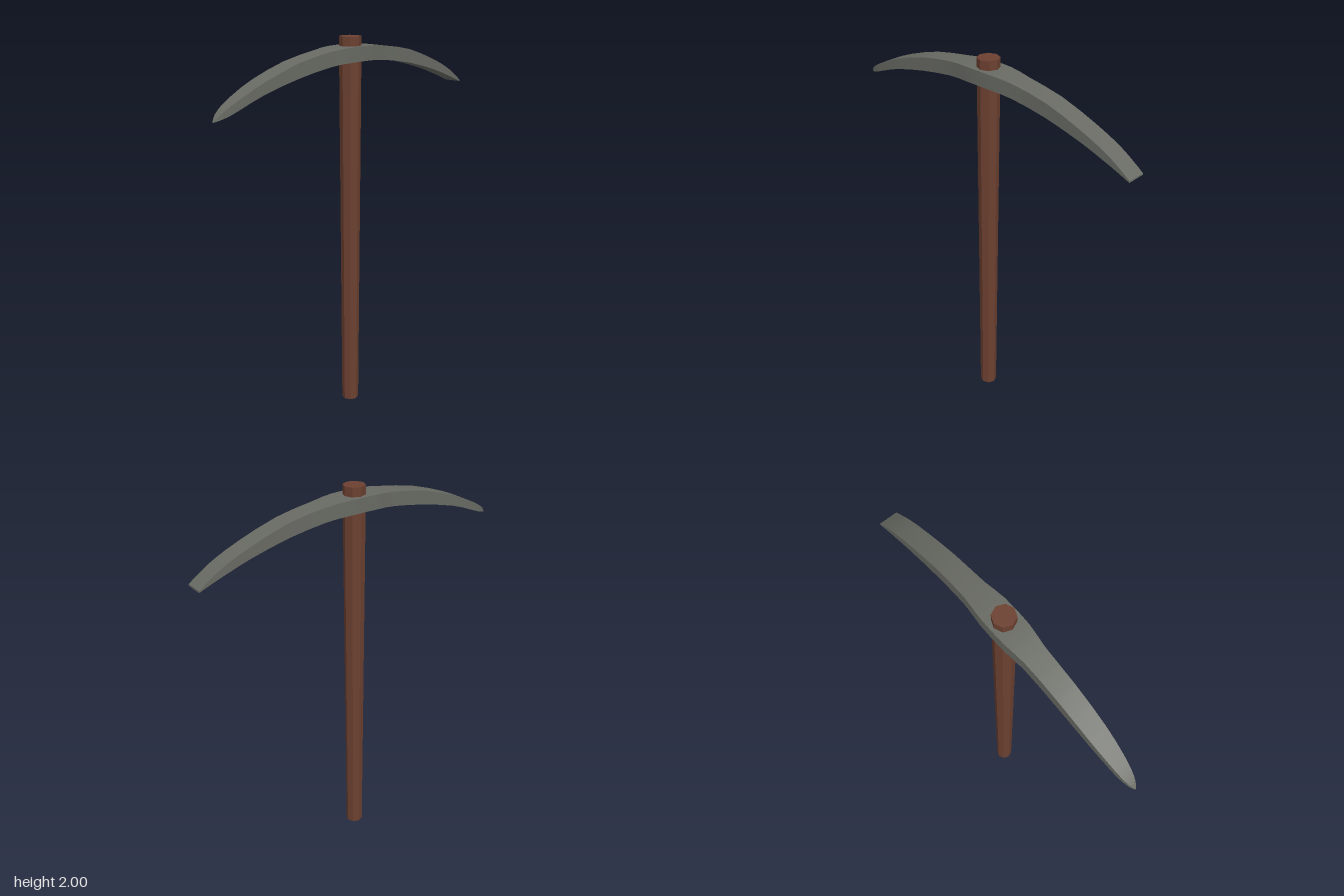
import * as THREE from 'three';
import { toCreasedNormals } from 'three/addons/utils/BufferGeometryUtils.js';

// Stations along the head: x, top y, bottom y, half width in z
const STATIONS = [
  [-0.865, 1.698, 1.694, 0.002], [-0.84, 1.724, 1.702, 0.017], [-0.79, 1.757, 1.718, 0.03],
  [-0.72, 1.793, 1.746, 0.039], [-0.6, 1.845, 1.79, 0.048], [-0.4, 1.908, 1.838, 0.053],
  [-0.2, 1.942, 1.87, 0.057], [-0.08, 1.953, 1.88, 0.071], [0.08, 1.953, 1.88, 0.071],
  [0.2, 1.942, 1.87, 0.057], [0.4, 1.908, 1.838, 0.053], [0.6, 1.84, 1.786, 0.051],
  [0.72, 1.788, 1.745, 0.05], [0.79, 1.748, 1.719, 0.049], [0.862, 1.698, 1.69, 0.049],
];

// Loft a rectangular section through the stations
function headGeometry() {
  const curve = (k) => new THREE.SplineCurve(STATIONS.map((s) => new THREE.Vector2(s[0], s[k])));
  const [top, bottom, width] = [1, 2, 3].map(curve);
  const n = (STATIONS.length - 1) * 2;
  const pos = [], idx = [];
  for (let i = 0; i <= n; i++) {
    const t = top.getPoint(i / n), b = bottom.getPoint(i / n), w = width.getPoint(i / n).y;
    pos.push(t.x, t.y, w, t.x, t.y, -w, b.x, b.y, -w, b.x, b.y, w);
    if (i === n) break;
    for (let j = 0; j < 4; j++) {
      const a = i * 4 + j, c = i * 4 + ((j + 1) % 4);
      idx.push(a, a + 4, c, c, a + 4, c + 4);
    }
  }
  // End caps: the point and the chisel edge
  const e = n * 4;
  idx.push(0, 1, 2, 0, 2, 3, e, e + 2, e + 1, e, e + 3, e + 2);
  const g = new THREE.BufferGeometry();
  g.setAttribute('position', new THREE.Float32BufferAttribute(pos, 3));
  g.setIndex(idx);
  return toCreasedNormals(g, 0.6);
}

export function createModel() {
  const group = new THREE.Group();
  const wood = new THREE.MeshStandardMaterial({ color: 0x6b4030, flatShading: true });
  const metal = new THREE.MeshStandardMaterial({ color: 0x686a63 });

  // Octagonal handle, slightly thicker towards the head
  const handle = new THREE.Mesh(new THREE.CylinderGeometry(0.056, 0.045, 2, 8), wood);
  handle.name = 'handle';
  handle.position.y = 1;

  // Curved head: point on one side, chisel on the other
  const head = new THREE.Mesh(headGeometry(), metal);
  head.name = 'head';

  group.add(handle, head);
  return group;
}
